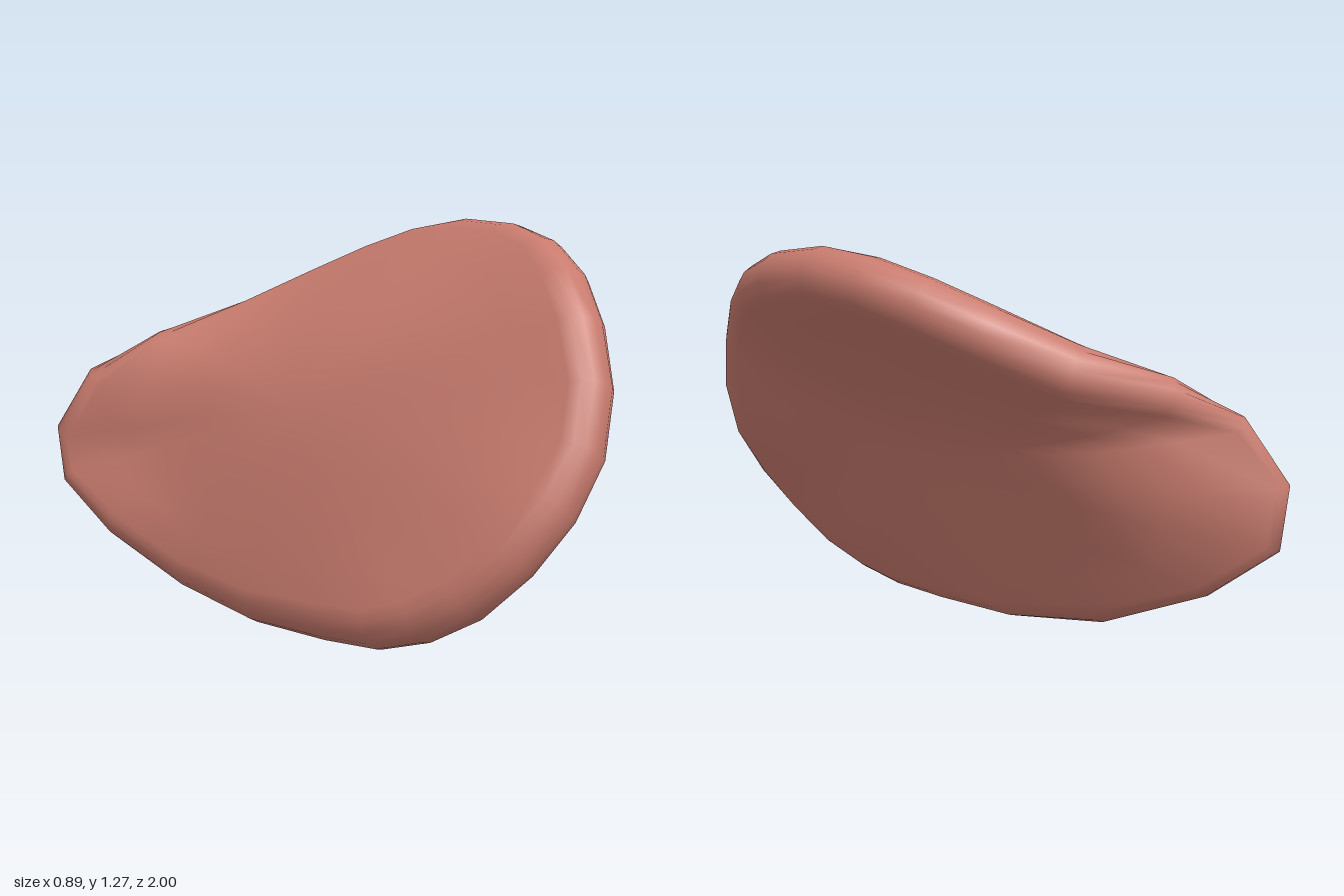
import * as THREE from 'three';
import { mergeVertices } from 'three/addons/utils/BufferGeometryUtils.js';

// Centre line of the rounded rim: [z, y, x], from the front tip over the top to the back and under
const RIM = [
  [.905, .63, -.015], [.88, .79, .055], [.815, .945, .105], [.72, 1.055, .17], [.59, 1.125, .25],
  [.42, 1.165, .33], [.23, 1.18, .352], [.045, 1.152, .345], [-.12, 1.095, .3], [-.29, 1.015, .22],
  [-.49, .905, .075], [-.68, .815, -.165], [-.82, .71, -.345], [-.94, .535, -.385], [-.93, .385, -.375],
  [-.73, .245, -.335], [-.4, .14, -.285], [-.05, .095, -.295], [.25, .105, -.3], [.45, .122, -.3],
  [.585, .165, -.28], [.71, .24, -.24], [.82, .36, -.185], [.885, .49, -.105],
];
const N = RIM.length;
const CENTRE_Y = .63;
const RADIUS = .095;

// Dished sheet: gentle slope below, flaring outwards above the bend, curling aside at the back tip
function sheet(z, y) {
  const bend = .1 * Math.log(1 + Math.exp((y - .8) / .1));
  const curl = Math.max(0, -z - .4);
  return -.12 + .05 * z + .33 * (y - CENTRE_Y) + (.75 - .3 * z) * bend - .8 * curl * curl;
}

// Point on the middle sheet on spoke i, s = 0 at the centre and 1 at the rim
function midPoint(i, s) {
  const [rz, ry, rx] = RIM[(i + N) % N];
  const z = rz * s;
  const y = CENTRE_Y + (ry - CENTRE_Y) * s;
  return new THREE.Vector3(sheet(z, y) + (rx - sheet(rz, ry)) * s ** 3, y, z);
}

// Normal of the sheet and the direction pointing outwards from its edge
function frame(i, s) {
  if (s === 0) return { normal: new THREE.Vector3(1, -.45, -.04).normalize() };
  const along = midPoint(i + 1, s).sub(midPoint(i - 1, s));
  const radial = midPoint(i, s).sub(midPoint(i, s - .03));
  const normal = new THREE.Vector3().crossVectors(along, radial).normalize();
  if (normal.x < 0) normal.negate();
  const outward = new THREE.Vector3().crossVectors(along, normal).normalize();
  if (outward.dot(radial) < 0) outward.negate();
  return { normal, outward };
}

function padGeometry() {
  // Rows [s, angle]: one face, half circle round the rim, other face
  const face = [0, .12, .24, .36, .48, .6, .72, .84];
  const rows = face.map((s) => [s, 0]);
  for (let k = 0; k <= 8; k++) rows.push([1, (k / 8) * Math.PI]);
  rows.push(...face.map((s) => [s, Math.PI]).reverse());

  const pos = [];
  const index = [];
  rows.forEach(([s, angle], j) => {
    for (let i = 0; i < N; i++) {
      const p = midPoint(i, s);
      const { normal, outward } = frame(i, s);
      // softly domed in the middle, thinner towards the back tip
      const taper = RADIUS - .035 * THREE.MathUtils.smoothstep(-p.z, .45, .9);
      const r = taper * (1.18 - .18 * s * s);
      p.addScaledVector(normal, r * Math.cos(angle));
      if (s === 1) p.addScaledVector(outward, r * Math.sin(angle));
      pos.push(p.x, p.y, p.z);

      if (j === rows.length - 1) continue;
      const a = j * N + i;
      const b = j * N + (i + 1) % N;
      if (j > 0) index.push(a, b, b + N);
      if (j < rows.length - 2) index.push(a, b + N, a + N);
    }
  });
  const geo = new THREE.BufferGeometry();
  geo.setAttribute('position', new THREE.Float32BufferAttribute(pos, 3));
  geo.setIndex(index);
  const merged = mergeVertices(geo, 1e-5);
  merged.computeVertexNormals();
  return merged;
}

export function createModel() {
  const group = new THREE.Group();
  group.name = 'curvedPad';
  const flesh = new THREE.MeshStandardMaterial({ color: 0xc87b6e });
  flesh.name = 'dusty pink';
  const pad = new THREE.Mesh(padGeometry(), flesh);
  pad.name = 'pad';
  group.add(pad);
  return group;
}
